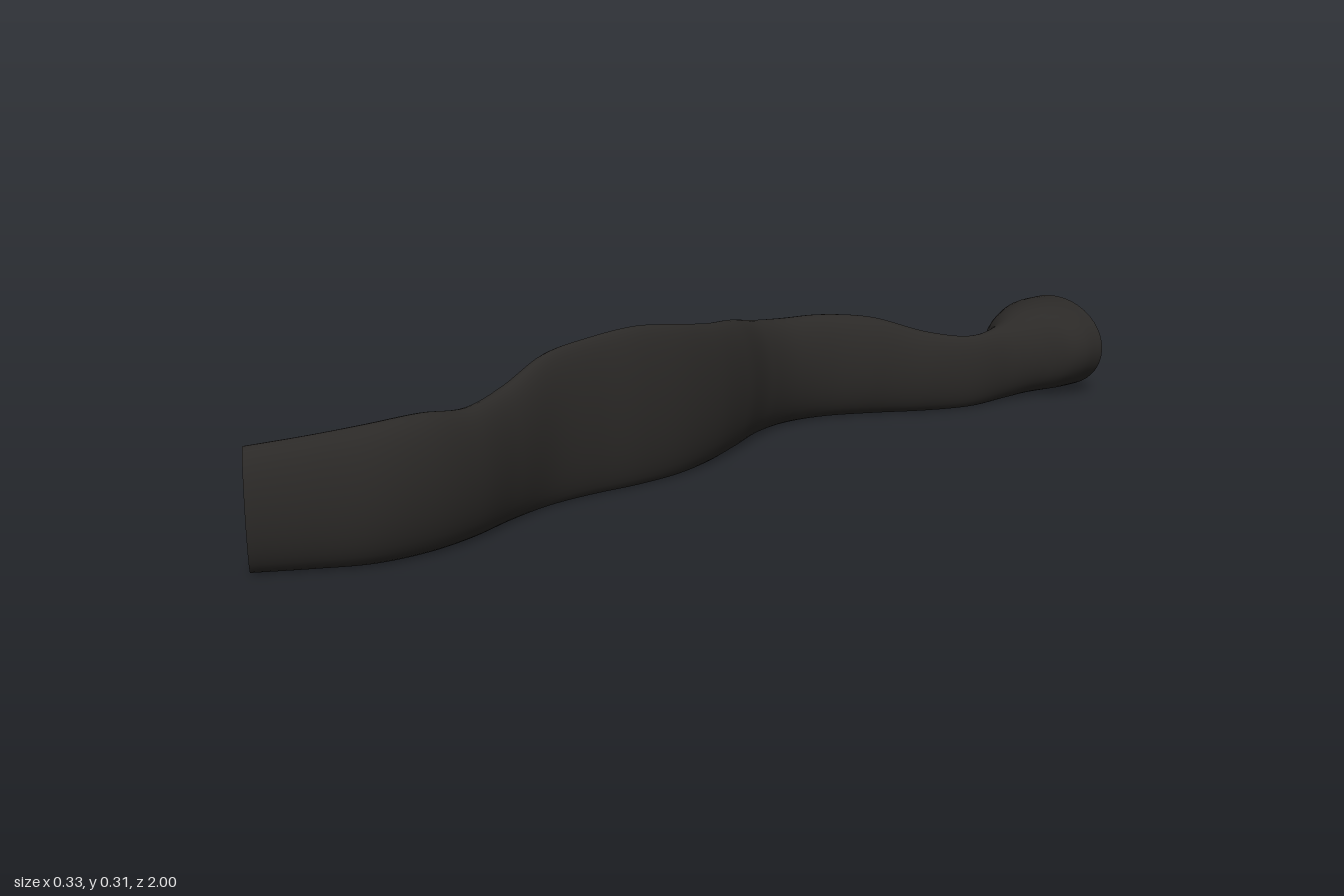
import * as THREE from 'three';

// Cross-sections from back to front: z, x min, x max, top
const SECTIONS = [
  [-1.0, -0.105, 0.165, 0.205],
  [-0.94, -0.102, 0.16, 0.203],
  [-0.88, -0.065, 0.125, 0.192],
  [-0.8, -0.005, 0.09, 0.168],
  [-0.7, 0.015, 0.075, 0.16],
  [-0.6, -0.035, 0.047, 0.178],
  [-0.5, -0.105, 0.0, 0.213],
  [-0.4, -0.15, -0.05, 0.225],
  [-0.3, -0.17, -0.063, 0.228],
  [-0.2, -0.152, -0.04, 0.242],
  [-0.1, -0.103, 0.007, 0.265],
  [0.0, -0.05, 0.045, 0.28],
  [0.1, -0.012, 0.065, 0.298],
  [0.2, -0.002, 0.067, 0.31],
  [0.3, -0.007, 0.058, 0.302],
  [0.4, -0.005, 0.062, 0.287],
  [0.5, 0.01, 0.092, 0.25],
  [0.6, 0.04, 0.13, 0.235],
  [0.7, 0.055, 0.15, 0.247],
  [0.8, 0.043, 0.143, 0.243],
  [0.89, 0.0, 0.1, 0.23],
  [0.975, -0.047, 0.053, 0.218],
];
const FLOOR = 0.003;
const RINGS = 126;
const SIDES = 40;

// Smooth centre line and half-sizes share one parameter
const smooth = (points) => new THREE.CatmullRomCurve3(points, false, 'catmullrom', 0.5);
const centreLine = smooth(SECTIONS.map(([z, x0, x1, top]) =>
  new THREE.Vector3((x0 + x1) / 2, (top + FLOOR) / 2, z)));
const halfSizes = smooth(SECTIONS.map(([, x0, x1, top]) =>
  new THREE.Vector3((x1 - x0) / 2, (top - FLOOR) / 2, 0)));

// Upright elliptical ring, square to the path
function ring(t) {
  const centre = centreLine.getPoint(t);
  const size = halfSizes.getPoint(t);
  const dir = centreLine.getTangent(t).setY(0).normalize();
  if (t === 0) dir.set(0, 0, 1);
  const width = size.x * dir.z;
  const points = [];
  for (let j = 0; j < SIDES; j++) {
    const a = (j / SIDES) * Math.PI * 2;
    const s = Math.cos(a) * width;
    points.push(new THREE.Vector3(
      centre.x + dir.z * s, centre.y + Math.sin(a) * size.y, centre.z - dir.x * s));
  }
  return { centre, points };
}

function meshFrom(points, index, material, name) {
  const geometry = new THREE.BufferGeometry().setFromPoints(points);
  geometry.setIndex(index);
  geometry.computeVertexNormals();
  const mesh = new THREE.Mesh(geometry, material);
  mesh.name = name;
  return mesh;
}

// Flat fan closing one end
function endCap({ centre, points }, facesFront, material, name) {
  const index = [];
  for (let j = 0; j < SIDES; j++) {
    const a = 1 + j, b = 1 + ((j + 1) % SIDES);
    index.push(0, ...(facesFront ? [a, b] : [b, a]));
  }
  return meshFrom([centre, ...points], index, material, name);
}

export function createModel() {
  const group = new THREE.Group();
  group.name = 'windingTube';
  const material = new THREE.MeshStandardMaterial({ color: 0x2b2927 });

  // Winding body
  const rings = Array.from({ length: RINGS + 1 }, (_, i) => ring(i / RINGS));
  const index = [];
  for (let i = 0; i < RINGS; i++) {
    for (let j = 0; j < SIDES; j++) {
      const k = (j + 1) % SIDES;
      const a = i * SIDES + j, b = i * SIDES + k;
      index.push(a, b, a + SIDES, b, b + SIDES, a + SIDES);
    }
  }
  group.add(meshFrom(rings.flatMap((r) => r.points), index, material, 'body'));

  // Flat ends
  group.add(endCap(rings[0], false, material, 'backEnd'));
  group.add(endCap(rings[RINGS], true, material, 'frontEnd'));
  return group;
}
